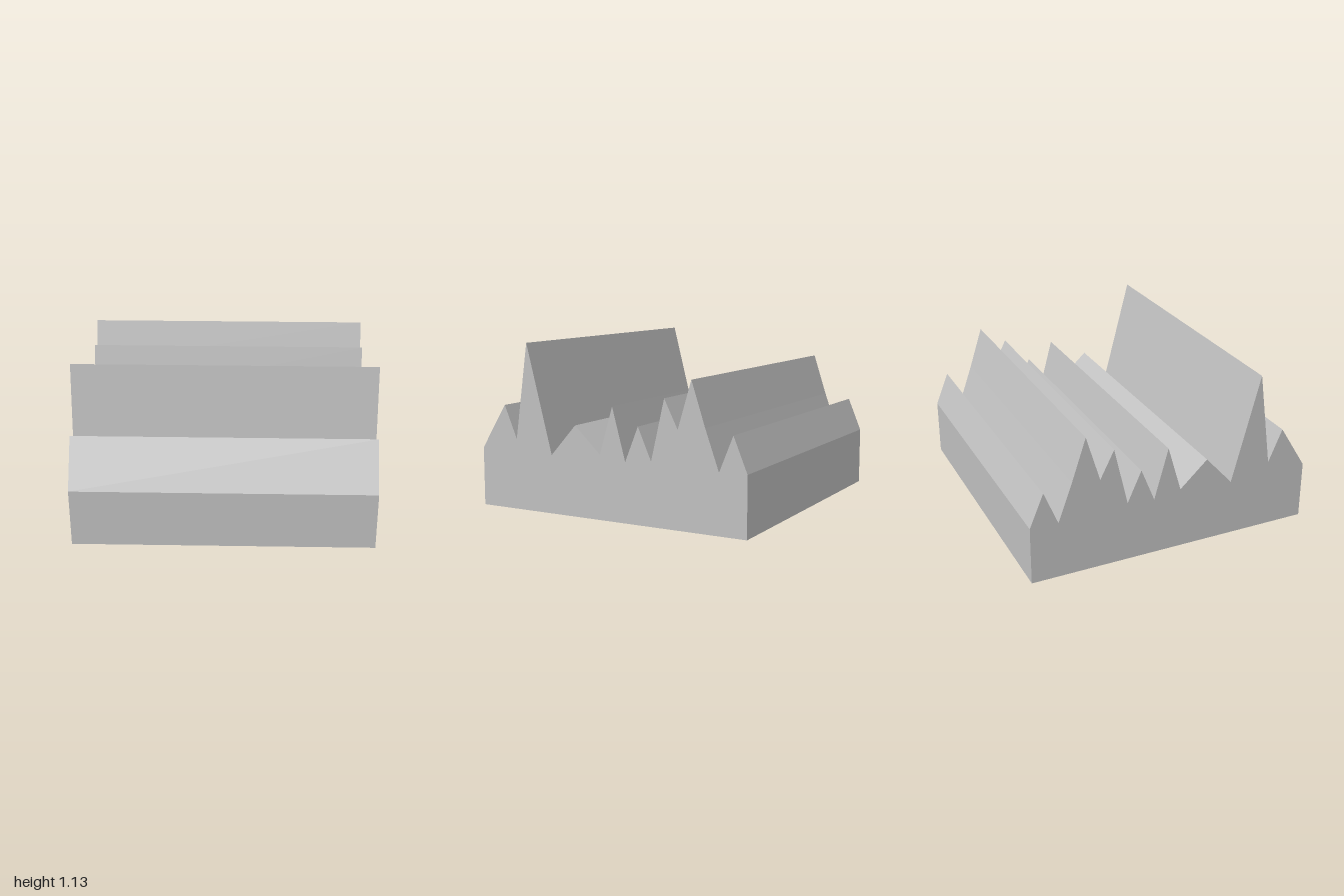
import * as THREE from 'three';

export function createModel() {
  const group = new THREE.Group();
  group.name = 'ridgedBlock';
  const grey = new THREE.MeshStandardMaterial({ color: 0xc0c0c0 });
  grey.name = 'light grey';

  // Ridge line from front to back: [grid step, height], 21 steps across the depth
  const ridge = [
    [0, 0.4], [2, 0.705], [3, 0.48], [4, 1.13], [6, 0.395], [8, 0.607],
    [10, 0.43], [11, 0.75], [12, 0.4], [13, 0.635], [14, 0.42], [15, 0.825],
    [16, 0.635], [17, 0.95], [18, 0.66], [19, 0.395], [20, 0.63], [21, 0.4],
  ];
  const profile = new THREE.Shape();
  profile.moveTo(-1, 0);
  ridge.forEach(([step, y]) => profile.lineTo(-1 + (step * 2) / 21, y));
  profile.lineTo(1, 0);
  profile.closePath();

  // Sweep the profile across the width; the profile's start faces +z
  const geometry = new THREE.ExtrudeGeometry(profile, { depth: 2, bevelEnabled: false });
  geometry.translate(0, 0, -1);
  geometry.rotateY(Math.PI / 2);

  const block = new THREE.Mesh(geometry, grey);
  block.name = 'ridges';
  group.add(block);
  return group;
}
